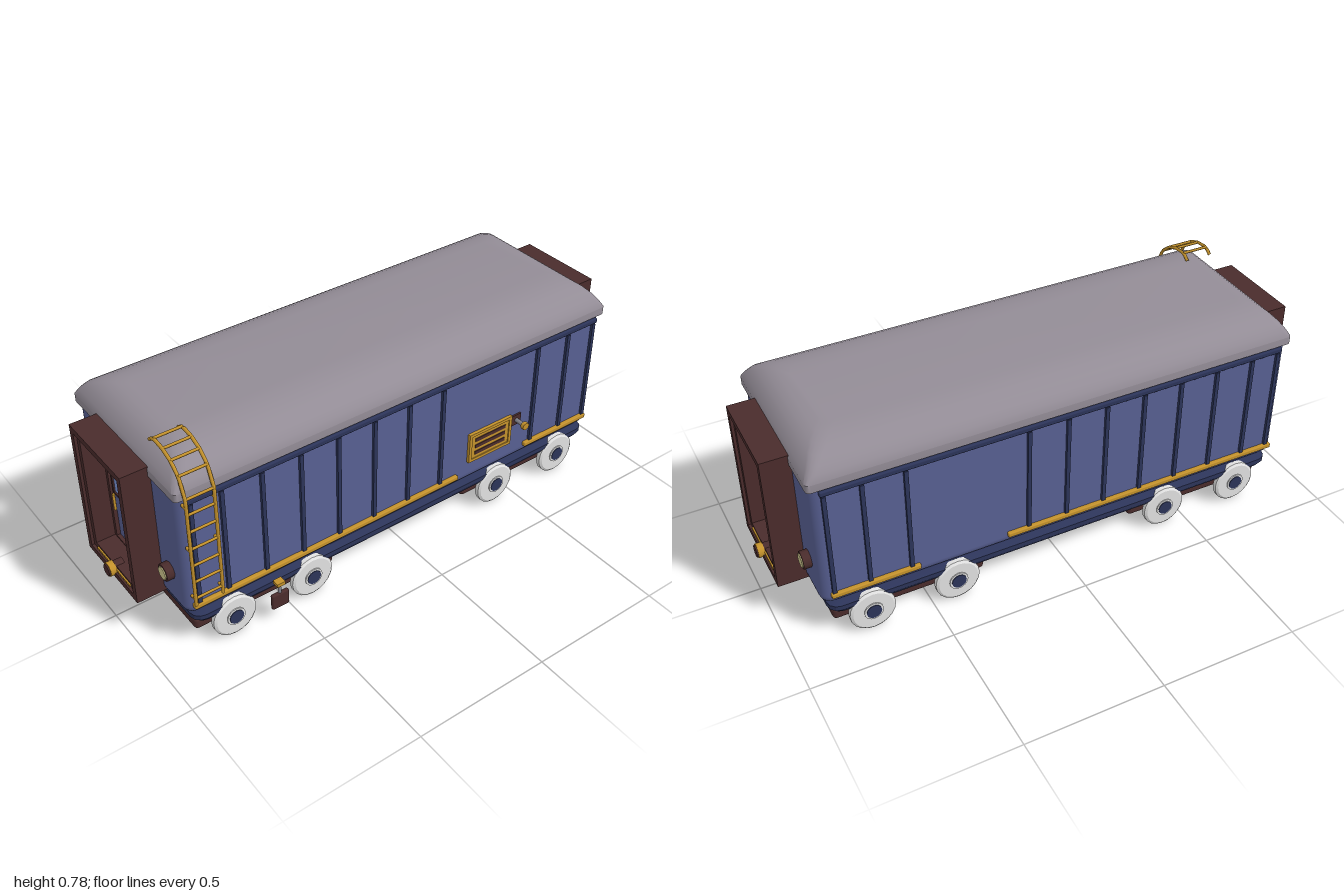
import * as THREE from 'three';
import { toCreasedNormals } from 'three/addons/utils/BufferGeometryUtils.js';
import { RoundedBoxGeometry } from 'three/addons/geometries/RoundedBoxGeometry.js';

const paint = (name, color) => {
  const m = new THREE.MeshStandardMaterial({ color });
  m.name = name;
  return m;
};
const BLUE = paint('body blue', 0x586093);
const NAVY = paint('dark blue', 0x2c3459);
const ROOF = paint('roof grey', 0x938c96);
const BROWN = paint('dark brown', 0x4a2c2c);
const GOLD = paint('gold', 0xc4922c);
const WHITE = paint('wheel white', 0xe2e2e2);
const GLASS = paint('window blue', 0x7f9ade);
const LAMP = paint('lamp cream', 0xd2ca90);
const STEEL = paint('steel', 0x85858f);

function add(parent, name, geometry, material, x = 0, y = 0, z = 0) {
  const mesh = new THREE.Mesh(geometry, material);
  mesh.name = name;
  mesh.position.set(x, y, z);
  parent.add(mesh);
  return mesh;
}
const box = (w, h, d) => new THREE.BoxGeometry(w, h, d);
const rod = (r, length, axis = 'y', sides = 8) => {
  const g = new THREE.CylinderGeometry(r, r, length, sides);
  if (axis === 'x') g.rotateZ(-Math.PI / 2);
  if (axis === 'z') g.rotateX(Math.PI / 2);
  return g;
};

// Lofted shell: each ring is [y, halfX, halfZ, cornerRadius], listed bottom to top
function loft(rings, perCorner = 5, crease = 0.6) {
  const pos = [], idx = [], n = perCorner * 4, last = rings.length - 1;
  for (const [y, hx, hz, r] of rings) {
    for (let i = 0; i < n; i++) {
      const c = Math.floor(i / perCorner);
      const a = (c + (i % perCorner) / (perCorner - 1)) * Math.PI / 2;
      const sx = c === 0 || c === 3 ? 1 : -1, sz = c < 2 ? 1 : -1;
      pos.push(sx * (hx - r) + r * Math.cos(a), y, sz * (hz - r) + r * Math.sin(a));
    }
  }
  for (let k = 0; k < last; k++) {
    for (let i = 0; i < n; i++) {
      const a = k * n + i, b = k * n + (i + 1) % n;
      idx.push(a, a + n, b, b, a + n, b + n);
    }
  }
  for (let i = 1; i < n - 1; i++) {
    idx.push(0, i, i + 1, last * n, last * n + i + 1, last * n + i);
  }
  const g = new THREE.BufferGeometry();
  g.setAttribute('position', new THREE.Float32BufferAttribute(pos, 3));
  g.setIndex(idx);
  return toCreasedNormals(g, crease);
}

// Rectangular ring facing +x, from x = 0 to x = depth
function frame(w, h, border, depth) {
  const rect = (T, a, b) => new T([[-a, -b], [a, -b], [a, b], [-a, b]].map(p => new THREE.Vector2(...p)));
  const s = rect(THREE.Shape, w / 2, h / 2);
  s.holes.push(rect(THREE.Path, w / 2 - border, h / 2 - border));
  return new THREE.ExtrudeGeometry(s, { depth, bevelEnabled: false }).rotateY(Math.PI / 2);
}

// Polyline tube with straight segments
function pipe(points, radius, sides = 6) {
  const path = new THREE.CurvePath();
  const v = points.map(p => new THREE.Vector3(...p));
  for (let i = 1; i < v.length; i++) path.add(new THREE.LineCurve3(v[i - 1], v[i]));
  return new THREE.TubeGeometry(path, 32, radius, sides, false);
}

// Gangway hood, doors, lamps and buffer for the +x end
function makeEnd() {
  const end = new THREE.Group();
  end.name = 'carEnd';
  add(end, 'gangwayHood', frame(0.334, 0.514, 0.023, 0.11), BROWN, 0.87, 0.422);
  add(end, 'gangwayInnerHood', frame(0.29, 0.47, 0.02, 0.1), BROWN, 0.87, 0.422);
  add(end, 'doorFrame', frame(0.252, 0.436, 0.014, 0.03), BROWN, 0.87, 0.416);
  add(end, 'gangwayFloor', box(0.09, 0.008, 0.225), GOLD, 0.93, 0.196);
  add(end, 'doorSeam', box(0.004, 0.42, 0.004), STEEL, 0.888, 0.412);
  for (const s of [1, -1]) {
    add(end, 'doorLeaf', box(0.012, 0.425, 0.109), BLUE, 0.881, 0.412, s * 0.0555);
    add(end, 'windowFrame', frame(0.094, 0.204, 0.009, 0.01), BROWN, 0.885, 0.505, s * 0.056);
    add(end, 'window', box(0.006, 0.19, 0.08), GLASS, 0.887, 0.505, s * 0.056);
    add(end, 'doorHandle', rod(0.005, 0.065), GOLD, 0.897, 0.367, s * 0.098);
    add(end, 'lampHousing', rod(0.031, 0.035, 'x'), BROWN, 0.89, 0.303, s * 0.227);
    add(end, 'lampLens', rod(0.024, 0.006, 'x'), LAMP, 0.908, 0.303, s * 0.227);
  }
  add(end, 'buffer', rod(0.022, 0.06, 'x', 12), BROWN, 0.97, 0.193);
  add(end, 'bufferRim', rod(0.026, 0.022, 'x', 12), GOLD, 0.984, 0.193);
  return end;
}

function makeWheel() {
  const wheel = new THREE.Group();
  wheel.name = 'wheel';
  const outline = [[0, -0.014], [0.072, -0.014], [0.081, -0.008], [0.081, 0.008], [0.072, 0.014], [0, 0.014]];
  const tyre = new THREE.LatheGeometry(outline.map(p => new THREE.Vector2(...p)), 20).rotateX(Math.PI / 2);
  add(wheel, 'tyre', toCreasedNormals(tyre, 0.5), WHITE);
  add(wheel, 'wheelBoss', rod(0.034, 0.036, 'z', 16), WHITE);
  add(wheel, 'hub', rod(0.027, 0.041, 'z', 12), NAVY);
  return wheel;
}

export function createModel() {
  const model = new THREE.Group();
  model.name = 'railwayCarriage';
  const car = new THREE.Group();
  car.name = 'carriage';
  car.position.z = -0.02;
  model.add(car);

  // Shell
  add(car, 'body', new RoundedBoxGeometry(1.76, 0.545, 0.64, 4, 0.04), BLUE, 0, 0.428);
  add(car, 'underframe', loft([
    [0.093, 0.81, 0.28, 0.04], [0.115, 0.85, 0.318, 0.04], [0.13, 0.86, 0.327, 0.04],
    [0.148, 0.86, 0.327, 0.04], [0.162, 0.84, 0.3, 0.04]], 4, 0.4), NAVY);
  add(car, 'roof', loft([
    [0.643, 0.888, 0.327, 0.015], [0.672, 0.888, 0.327, 0.015], [0.695, 0.876, 0.316, 0.025],
    [0.715, 0.862, 0.3, 0.03], [0.732, 0.846, 0.275, 0.035], [0.747, 0.825, 0.245, 0.04],
    [0.757, 0.8, 0.21, 0.04], [0.762, 0.77, 0.17, 0.04]]), ROOF);

  // Side ribs, rails and gold strips
  const ribs = [-0.73, -0.585, -0.44, -0.295, -0.15, -0.005, 0.14, 0.57, 0.715];
  for (const s of [1, -1]) {
    for (const x of [...ribs, 0.838, -0.838]) add(car, 'sideRib', box(0.014, 0.4, 0.02), NAVY, x, 0.415, s * 0.32);
    add(car, 'sideRail', new RoundedBoxGeometry(1.7, 0.02, 0.028, 2, 0.005), NAVY, 0, 0.629, s * 0.319);
    add(car, 'longStrip', new RoundedBoxGeometry(1.08, 0.018, 0.02, 2, 0.004), GOLD, -0.32, 0.205, s * 0.324);
    add(car, 'shortStrip', new RoundedBoxGeometry(0.31, 0.018, 0.02, 2, 0.004), GOLD, 0.695, 0.205, s * 0.324);
  }

  // Bogies and wheels
  for (const s of [1, -1]) {
    add(car, 'bogie', new RoundedBoxGeometry(0.55, 0.048, 0.56, 2, 0.014), BROWN, s * 0.565, 0.07);
    for (const x of [0.41, 0.717]) {
      add(car, 'axle', rod(0.015, 0.62, 'z'), NAVY, s * x, 0.083);
      for (const side of [1, -1]) {
        const wheel = makeWheel();
        wheel.position.set(s * x, 0.083, side * 0.317);
        car.add(wheel);
      }
    }
  }

  // Both ends
  const rightEnd = makeEnd(), leftEnd = makeEnd();
  leftEnd.rotation.y = Math.PI;
  car.add(rightEnd, leftEnd);

  // Hose and valve on one end
  add(car, 'brakeHose', pipe([[0.89, 0.245, 0.213], [0.93, 0.205, 0.188], [0.935, 0.2, 0.147], [0.9, 0.25, 0.125]], 0.008), BROWN);
  add(car, 'hoseSocket', box(0.03, 0.022, 0.022), STEEL, 0.89, 0.25, 0.211);
  add(car, 'hoseSocket', box(0.03, 0.022, 0.018), STEEL, 0.9, 0.252, 0.125);
  add(car, 'valveStem', box(0.02, 0.05, 0.008), STEEL, 0.885, 0.282, 0.173);
  add(car, 'valveKnob', box(0.03, 0.014, 0.018), GOLD, 0.89, 0.308, 0.173);

  // Louvred vent and side tap
  add(car, 'ventPanel', box(0.185, 0.11, 0.012), GOLD, 0.364, 0.311, 0.324);
  add(car, 'ventFrame', frame(0.198, 0.122, 0.012, 0.012).rotateY(-Math.PI / 2), GOLD, 0.364, 0.311, 0.322);
  for (const y of [-0.028, 0, 0.028]) add(car, 'ventSlot', box(0.14, 0.014, 0.004), BROWN, 0.364, 0.311 + y, 0.331);
  add(car, 'tapPlate', box(0.045, 0.042, 0.008), BROWN, 0.49, 0.34, 0.323);
  add(car, 'tapStem', rod(0.008, 0.05, 'z'), STEEL, 0.49, 0.34, 0.345);
  add(car, 'tapCap', rod(0.015, 0.014, 'z'), GOLD, 0.49, 0.34, 0.372);

  // Hand brake beside the bogie
  add(car, 'brakeBlock', new RoundedBoxGeometry(0.066, 0.062, 0.016, 2, 0.006), BROWN, -0.567, 0.098, 0.364);
  add(car, 'brakeStem', rod(0.006, 0.05), STEEL, -0.567, 0.148, 0.364);
  add(car, 'brakeCap', box(0.03, 0.013, 0.028), GOLD, -0.567, 0.172, 0.364);

  // Ladder curving over the roof edge
  const ladder = new THREE.Group();
  ladder.name = 'ladder';
  car.add(ladder);
  const bend = [[0.655, 0.342], [0.725, 0.313], [0.759, 0.273], [0.776, 0.23], [0.782, 0.177], [0.762, 0.15]];
  for (const x of [-0.86, -0.762]) {
    add(ladder, 'ladderRail', pipe([[x, 0.225, 0.342], ...bend.map(([y, z]) => [x, y, z])], 0.006), GOLD);
    for (const y of [0.25, 0.45, 0.62]) add(ladder, 'ladderBracket', rod(0.005, 0.026, 'z', 6), GOLD, x, y, 0.33);
  }
  for (let i = 0; i < 6; i++) add(ladder, 'rung', rod(0.005, 0.1, 'x', 6), GOLD, -0.811, 0.255 + i * 0.068, 0.342);
  for (const [y, z] of bend.slice(0, 5)) add(ladder, 'rung', rod(0.005, 0.1, 'x', 6), GOLD, -0.811, y, z);

  return model;
}
